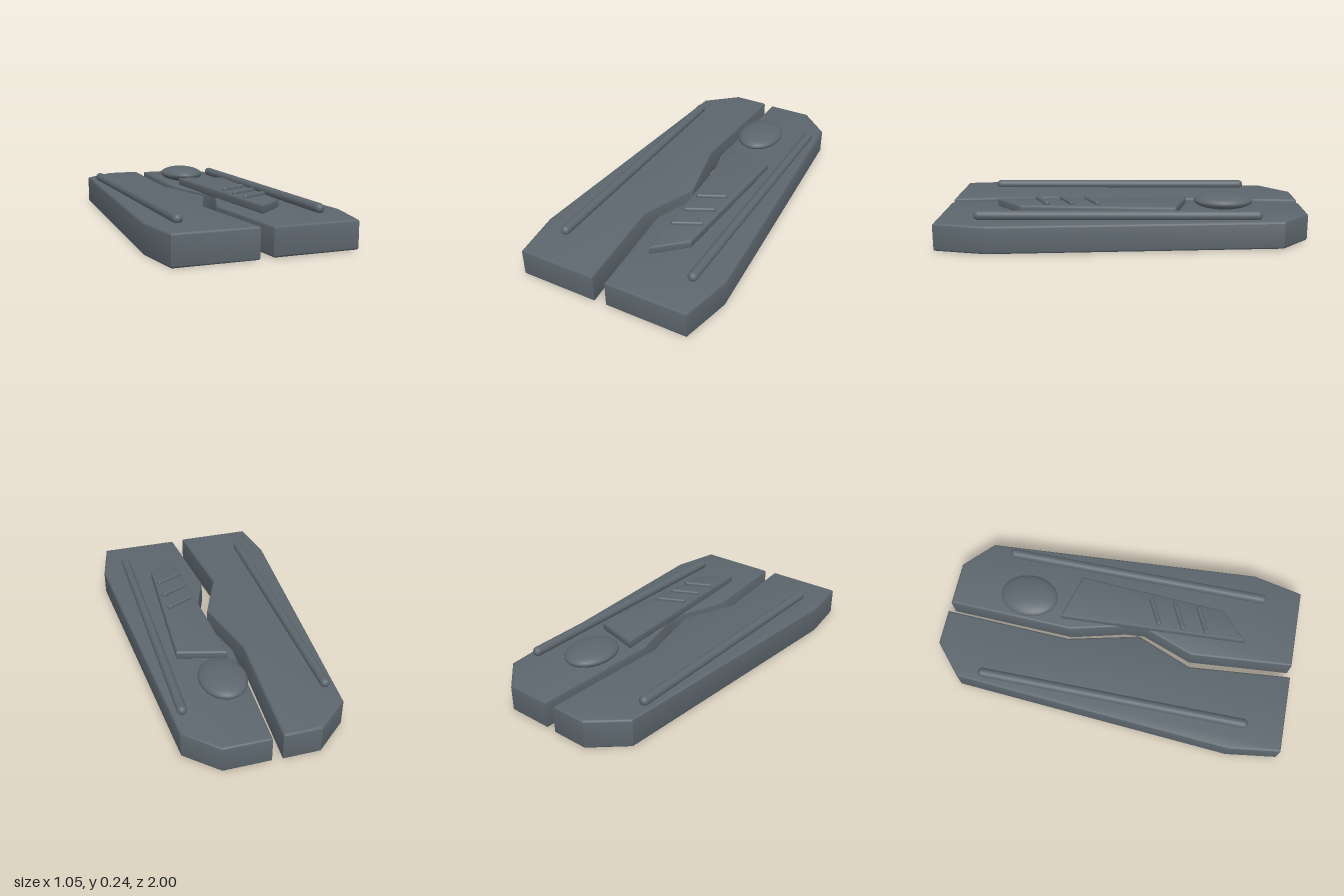
import * as THREE from 'three';
import { toCreasedNormals } from 'three/addons/utils/BufferGeometryUtils.js';
import { RoundedBoxGeometry } from 'three/addons/geometries/RoundedBoxGeometry.js';

export function createModel() {
  const model = new THREE.Group();
  const slate = new THREE.MeshStandardMaterial({ color: 0x5c666d });
  slate.name = 'slate grey';

  function add(name, geometry, x = 0, y = 0, z = 0) {
    const mesh = new THREE.Mesh(geometry, slate);
    mesh.name = name;
    mesh.position.set(x, y, z);
    model.add(mesh);
    return mesh;
  }

  // Bevelled plate from an outline of [x, z] points, lying between two heights
  function plate(outline, bottom, top, bevel) {
    const shape = new THREE.Shape(outline.map(([x, z]) => new THREE.Vector2(x, -z)));
    const g = new THREE.ExtrudeGeometry(shape, {
      depth: top - bottom - 2 * bevel,
      bevelEnabled: true, bevelThickness: bevel, bevelSize: bevel,
      bevelOffset: -bevel, bevelSegments: 3,
    });
    g.rotateX(-Math.PI / 2);
    g.translate(0, bottom + bevel, 0);
    return toCreasedNormals(g, 0.6);
  }

  // Two body halves separated by a zigzag gap
  add('rightBodyHalf', plate([
    [-0.25, -1], [-0.05, -1], [-0.08, -0.28], [0.015, 0.12], [-0.11, 0.43],
    [-0.057, 1], [-0.49, 1], [-0.53, 0.72], [-0.425, -0.845],
  ], 0, 0.16, 0.012));
  add('leftBodyHalf', plate([
    [0.005, -1], [0.255, -1], [0.42, -0.845], [0.525, 0.72], [0.465, 1],
    [0.012, 1], [-0.037, 0.43], [0.07, 0.14], [0.06, 0.03], [-0.02, -0.28],
  ], 0.004, 0.155, 0.012));

  // Long round rails
  for (const [name, x] of [['rightRail', -0.38], ['leftRail', 0.376]]) {
    const rail = new THREE.CapsuleGeometry(0.026, 1.48, 8, 20);
    rail.rotateX(Math.PI / 2);
    add(name, rail, x, 0.176, 0.035);
  }

  // Oval button
  add('ovalButton', new THREE.SphereGeometry(1, 40, 24), 0.12, 0.198, -0.55)
    .scale.set(0.126, 0.045, 0.164);

  // Slider plate with three slanted grip ridges
  add('sliderPlate', plate([
    [0.032, -0.347], [0.298, -0.275], [0.252, 0.57], [0.09, 0.717],
  ], 0.15, 0.199, 0.012));
  for (const z of [0.182, 0.32, 0.457]) {
    const ridge = new RoundedBoxGeometry(0.172, 0.034, 0.026, 3, 0.012);
    add('gripRidge', ridge, 0.166, 0.201, z).rotation.y = 0.46;
  }
  return model;
}
